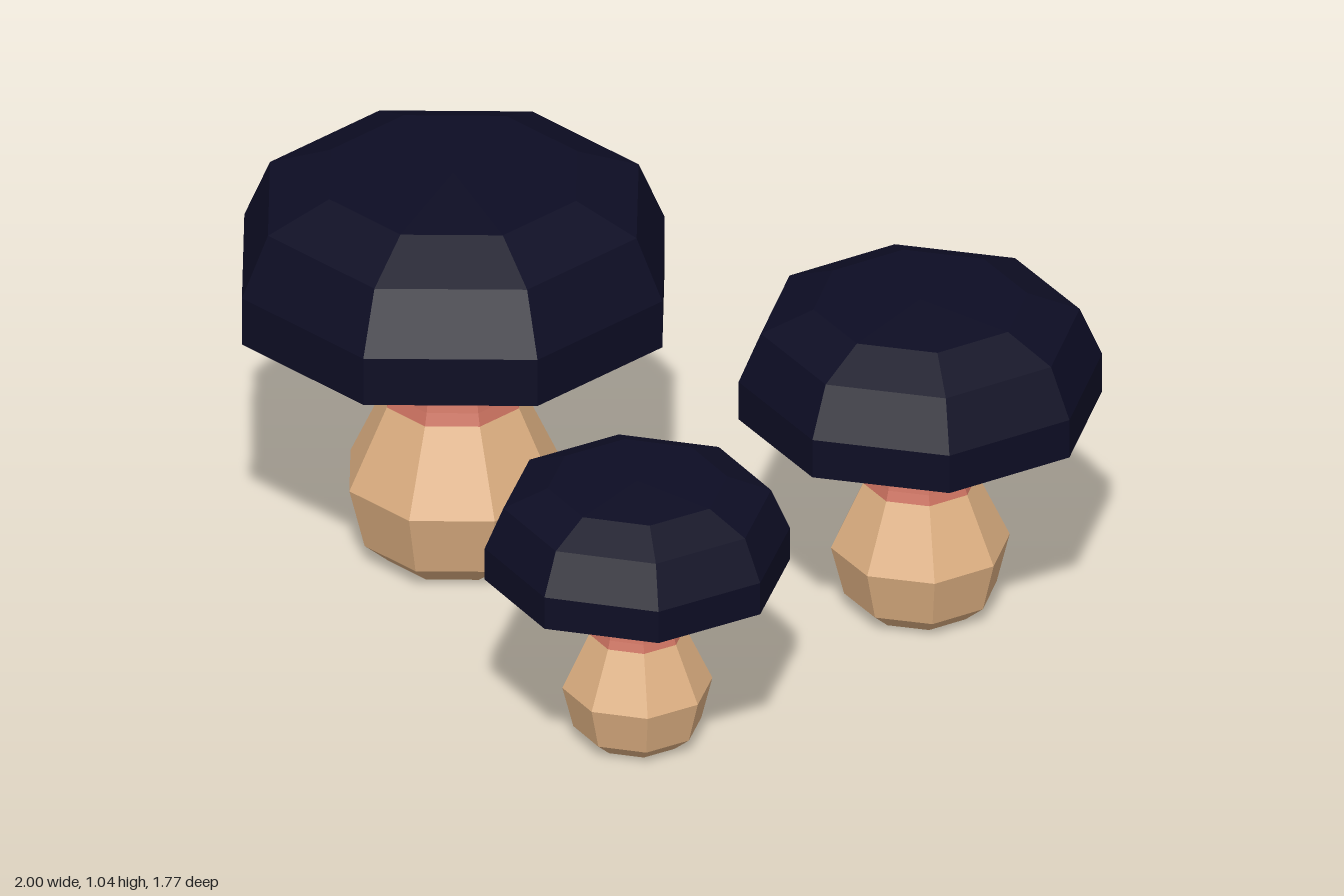
import * as THREE from 'three';

function material(name, color) {
  const m = new THREE.MeshStandardMaterial({ color, flatShading: true });
  m.name = name;
  return m;
}

export function createModel() {
  const group = new THREE.Group();
  group.name = 'mushrooms';

  const navy = material('navy', 0x0d0d24);
  const coral = material('coral', 0xcd7361);
  const tan = material('tan', 0xdeb082);

  // Profiles [radius, height] of the full-size mushroom, running bottom to top
  const parts = [
    ['stemBase', tan, [[0, 0], [0.168, 0], [0.232, 0.055], [0.272, 0.215], [0.174, 0.428]]],
    ['stemTop', coral, [[0.174, 0.428], [0.164, 0.46], [0.112, 0.68], [0.095, 0.78]]],
    ['capUnderside', coral, [[0, 0.785], [0.09, 0.78], [0.125, 0.755], [0.45, 0.715], [0.553, 0.68]]],
    ['cap', navy, [[0.553, 0.68], [0.553, 0.808], [0.485, 0.968], [0.325, 1.037], [0, 1.045]]],
  ];

  // Eight-sided mushroom, turned about its own axis
  function addMushroom(name, x, z, scale, degrees) {
    const mushroom = new THREE.Group();
    mushroom.name = name;
    for (const [partName, mat, profile] of parts) {
      const points = profile.map(([r, y]) => new THREE.Vector2(r, y));
      const mesh = new THREE.Mesh(new THREE.LatheGeometry(points, 8), mat);
      mesh.name = partName;
      mushroom.add(mesh);
    }
    mushroom.position.set(x, 0, z);
    mushroom.rotation.y = THREE.MathUtils.degToRad(degrees);
    mushroom.scale.setScalar(scale);
    group.add(mushroom);
  }

  addMushroom('largeMushroom', -0.475, 0.105, 1, 18.4);
  addMushroom('mediumMushroom', 0.555, -0.445, 0.809, 5.8);
  addMushroom('smallMushroom', 0.482, 0.507, 0.677, 4.6);

  return group;
}
